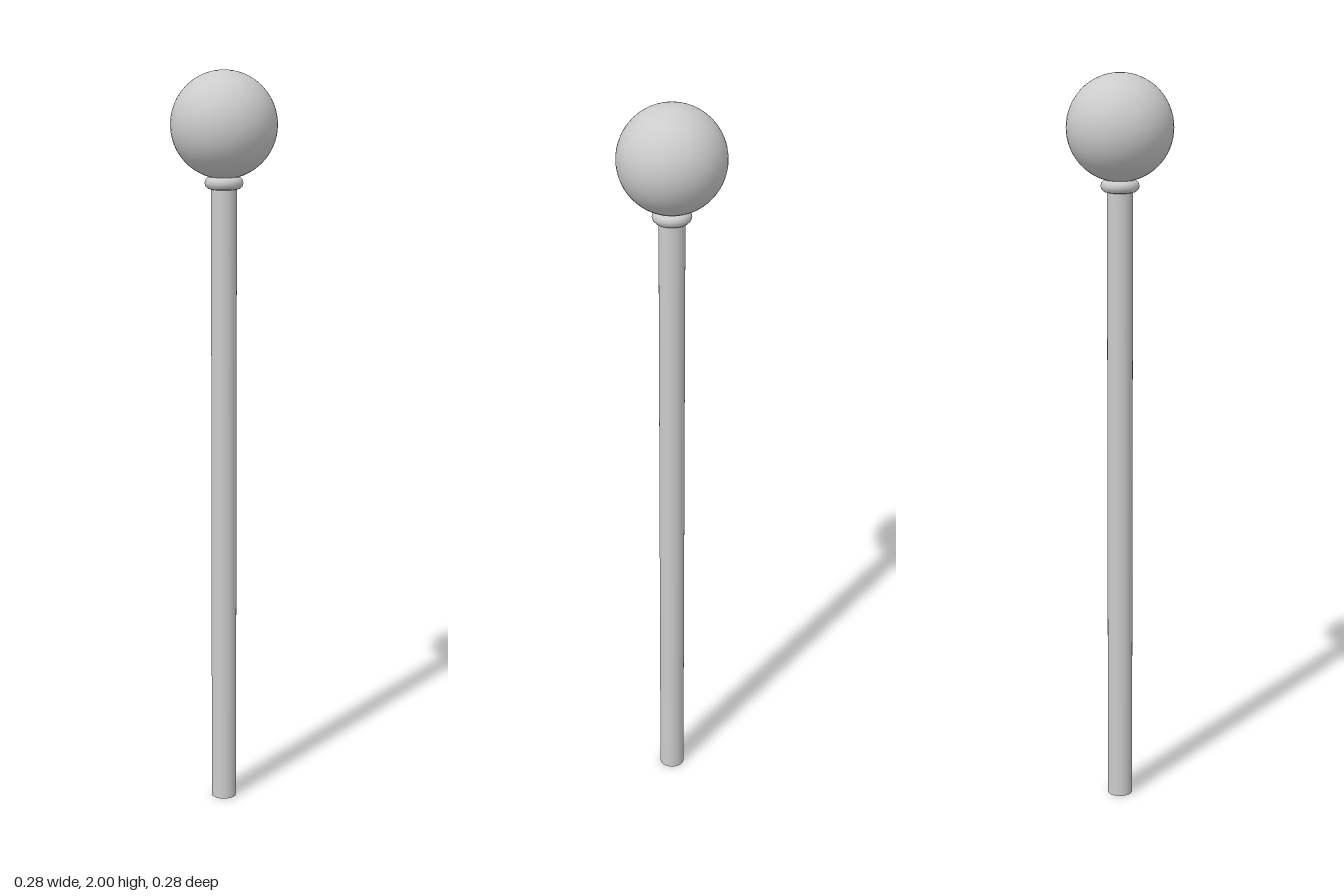
import * as THREE from 'three';

export function createModel() {
  const group = new THREE.Group();
  const material = new THREE.MeshStandardMaterial({ color: 0xcccccc });

  const add = (name, geometry, y) => {
    const mesh = new THREE.Mesh(geometry, material);
    mesh.name = name;
    mesh.position.y = y;
    group.add(mesh);
    return mesh;
  };

  // Straight rod, its top end tucked into the ball
  const rodHeight = 1.74;
  add('rod', new THREE.CylinderGeometry(0.034, 0.034, rodHeight, 32), rodHeight / 2);

  // Rounded ring where the rod meets the ball
  const collar = add('collar', new THREE.TorusGeometry(0.034, 0.017, 12, 40), 1.71);
  collar.rotation.x = Math.PI / 2;

  // Ball on top
  add('ball', new THREE.SphereGeometry(0.14, 48, 32), 1.86);

  return group;
}
